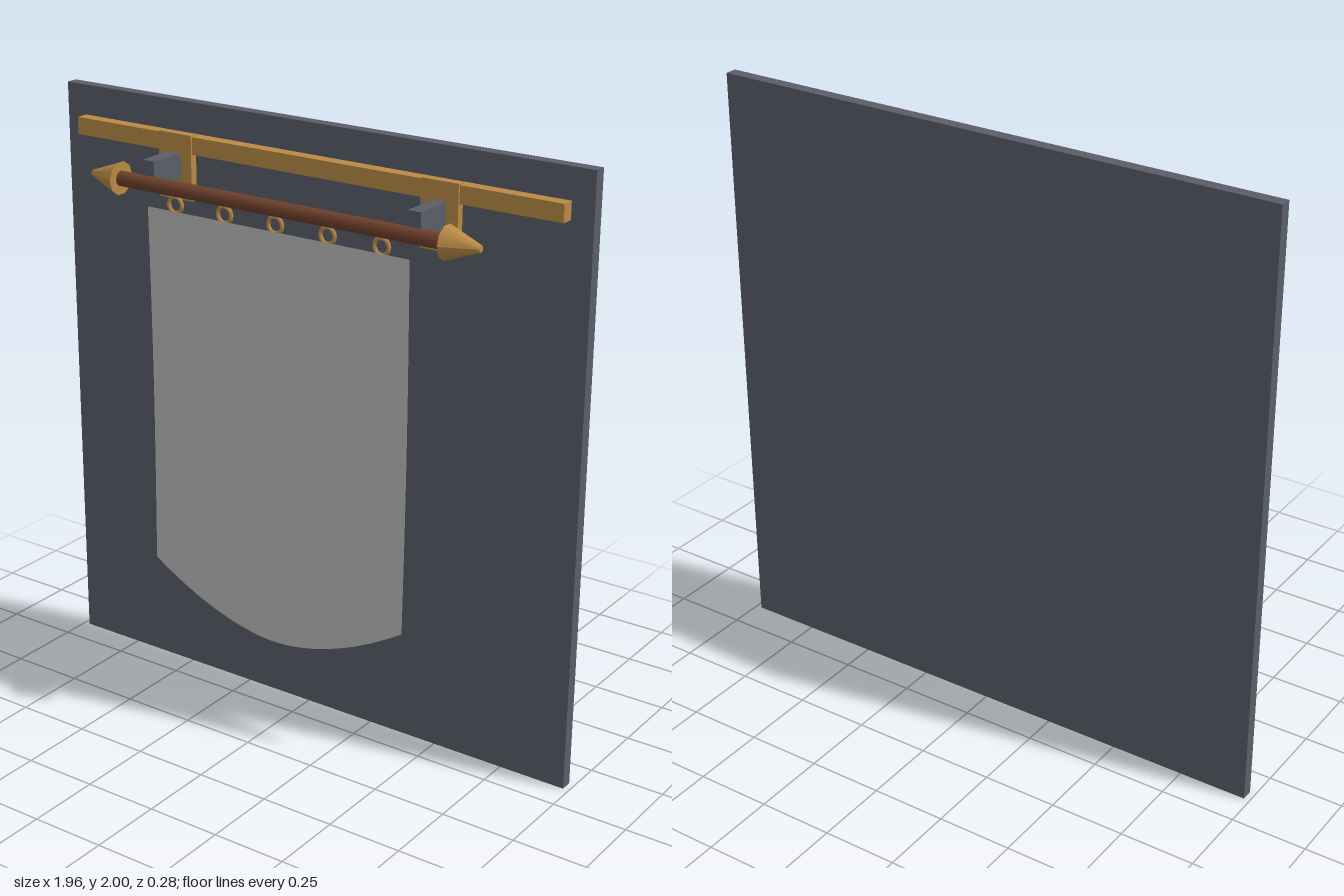
import * as THREE from 'three';

const mat = (name, color, side = THREE.FrontSide) => {
  const m = new THREE.MeshStandardMaterial({ color, side });
  m.name = name;
  return m;
};

export function createModel() {
  const group = new THREE.Group();
  const slate = mat('slate', 0x5a5e69);
  const gold = mat('golden wood', 0xb98a45);
  const brown = mat('brown wood', 0x6f412b);
  const cloth = mat('grey cloth', 0xbdbdbd, THREE.DoubleSide);

  const add = (name, geometry, material, x = 0, y = 0, z = 0) => {
    const mesh = new THREE.Mesh(geometry, material);
    mesh.name = name;
    mesh.position.set(x, y, z);
    group.add(mesh);
    return mesh;
  };
  // Box given by its limits on each axis
  const box = (name, material, [x0, x1], [y0, y1], [z0, z1]) =>
    add(name, new THREE.BoxGeometry(x1 - x0, y1 - y0, z1 - z0), material,
      (x0 + x1) / 2, (y0 + y1) / 2, (z0 + z1) / 2);

  // Wall panel and the rail fixed to it
  box('wallPanel', slate, [-0.98, 0.98], [0, 2], [-0.138, -0.098]);
  box('wallRail', gold, [-0.905, 0.905], [1.843, 1.9], [-0.098, -0.056]);

  // Brackets, arms and pointed rod ends
  const rodY = 1.77, rodZ = 0.086;
  for (const s of [-1, 1]) {
    const cx = s * 0.495;
    box('bracketPlate', gold, [cx - 0.065, cx + 0.065], [1.69, 1.905], [-0.076, -0.05]);
    box('bracketArm', slate, [cx - 0.023, cx + 0.023], [1.757, 1.844], [-0.05, 0.086]);
    const finial = new THREE.CylinderGeometry(0.011, 0.055, 0.115, 10);
    finial.rotateZ(-s * Math.PI / 2);
    finial.computeVertexNormals();
    add('rodFinial', finial, gold, s * 0.6645, rodY, rodZ);
  }

  // Hanging rod
  const rod = new THREE.CylinderGeometry(0.025, 0.025, 1.23, 12);
  rod.rotateZ(Math.PI / 2);
  add('hangingRod', rod, brown, 0, rodY, rodZ);

  // Rings between the rod and the cloth
  const ring = new THREE.TorusGeometry(0.026, 0.007, 6, 16);
  for (let i = -2; i <= 2; i++) add('hangingRing', ring, gold, i * 0.193, 1.719, rodZ + 0.002);

  // Banner cloth: curved hem and soft vertical folds that fade at top and hem
  const banner = new THREE.PlaneGeometry(0.98, 1, 32, 32);
  const p = banner.attributes.position;
  for (let i = 0; i < p.count; i++) {
    const x = p.getX(i);
    const v = 0.5 - p.getY(i);
    const hem = 0.305 + 0.175 * Math.pow(Math.abs(x) / 0.49, 1.8);
    const fold = 0.015 * Math.sin(Math.PI * v) * Math.cos((x + 0.16) * Math.PI * 2 / 0.49);
    p.setXYZ(i, x, THREE.MathUtils.lerp(1.7, hem, v), 0.098 + fold);
  }
  banner.computeVertexNormals();
  add('bannerCloth', banner, cloth);

  return group;
}
